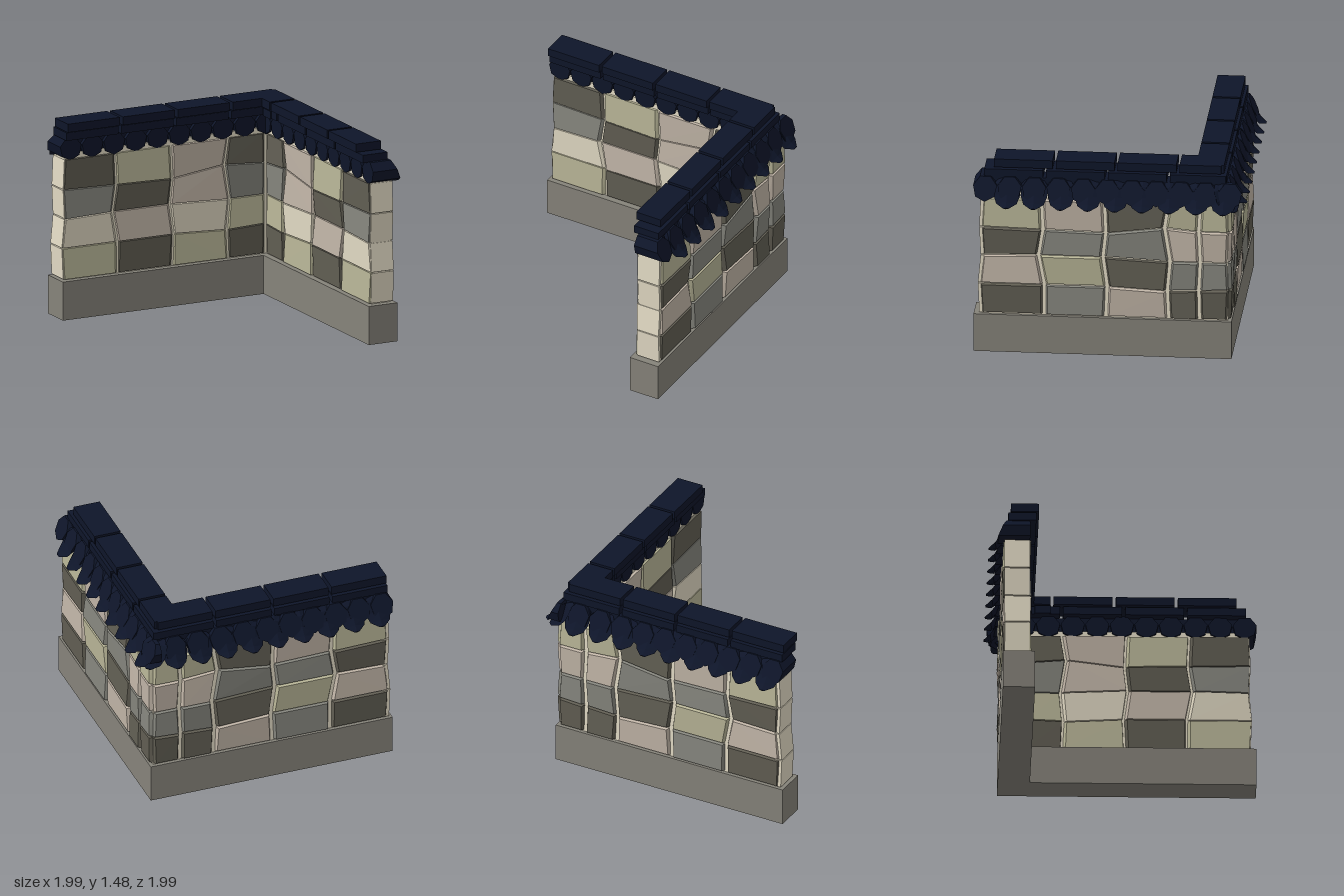
import * as THREE from 'three';
import { ConvexGeometry } from 'three/addons/geometries/ConvexGeometry.js';

const mat = (color, side = THREE.FrontSide) => {
  const m = new THREE.MeshStandardMaterial({ flatShading: true, side });
  m.color.set(color);
  return m;
};
const tileMat = mat(0x0e1529);
const eaveMat = mat(0x0e1529, THREE.DoubleSide);
const baseMat = mat(0x86837a);
const mortarMat = mat(0xe6dec8);
// D dark, G grey, T taupe, O olive, C cream
const stoneMats = {
  D: mat(0x625f54), G: mat(0x86867e), T: mat(0xc2b6a8), O: mat(0xb9b698), C: mat(0xe4dcc6),
};

// Irregular joint lines: positions along the arm and heights, for each of the five course levels
const jointU = [
  [-0.95, -0.48, -0.03, 0.43, 0.655, 0.87],
  [-0.96, -0.48, -0.02, 0.42, 0.65, 0.88],
  [-0.94, -0.52, -0.05, 0.44, 0.66, 0.87],
  [-0.95, -0.49, -0.03, 0.40, 0.65, 0.88],
  [-0.94, -0.50, -0.04, 0.43, 0.66, 0.87],
];
const jointY = [
  [0.295, 0.295, 0.295, 0.295, 0.295, 0.295],
  [0.53, 0.53, 0.53, 0.51, 0.52, 0.53],
  [0.75, 0.76, 0.76, 0.74, 0.74, 0.74],
  [0.97, 0.96, 0.95, 1.0, 0.98, 0.98],
  [1.2, 1.2, 1.2, 1.2, 1.2, 1.2],
];
// Stone colours per course, bottom to top, from free end to corner
const innerColors = ['ODOD', 'CTCO', 'GDTG', 'DOTD'];
const outerColors = ['DGTDD', 'TODGG', 'DGGTT', 'OTDOO'];

function add(parent, name, geometry, material, x = 0, y = 0, z = 0) {
  const mesh = new THREE.Mesh(geometry, material);
  mesh.name = name;
  mesh.position.set(x, y, z);
  parent.add(mesh);
  return mesh;
}

// L-shaped prism following both arms
function corner(start, inner, outer, y0, y1) {
  const pts = [[start, outer], [outer, outer], [outer, start], [inner, start], [inner, inner], [start, inner]];
  const shape = new THREE.Shape(pts.map(p => new THREE.Vector2(...p)));
  return new THREE.ExtrudeGeometry(shape, { depth: y1 - y0, bevelEnabled: false })
    .rotateX(-Math.PI / 2).translate(0, y0, 0);
}

// Seven-sided barrel tile from w0 outward, its outer face raked to the slope of the eave
function barrelGeometry(w0) {
  const g = new THREE.CylinderGeometry(0.089, 0.089, 1, 7).rotateX(Math.PI / 2);
  const p = g.attributes.position;
  for (let i = 0; i < p.count; i++) p.setZ(i, p.getZ(i) < 0 ? w0 : 0.898 - 0.45 * p.getY(i));
  return g;
}

// Drooping eave tile: diamond cross-sections swept along a flared profile (w, y, half width)
function eaveTileGeometry() {
  const rows = [[0.83, 1.34, 0.06], [0.868, 1.305, 0.097], [0.902, 1.23, 0.097], [0.945, 1.18, 0.075], [0.99, 1.16, 0.02]];
  const pos = [], index = [];
  rows.forEach(([w, y, h], i) => {
    const c = i === 4 ? 0.006 : 0.016;
    pos.push(-h, y, w, 0, y + c, w + c / 2, h, y, w, 0, y - c, w - c / 2);
    if (i === 0) return;
    for (let k = 0; k < 4; k++) {
      const a = (i - 1) * 4 + k, b = (i - 1) * 4 + (k + 1) % 4;
      index.push(a, a + 4, b, b, a + 4, b + 4);
    }
  });
  index.push(0, 1, 2, 0, 2, 3, 16, 18, 17, 16, 19, 18);
  const g = new THREE.BufferGeometry();
  g.setAttribute('position', new THREE.Float32BufferAttribute(pos, 3));
  g.setIndex(index);
  g.computeVertexNormals();
  return g;
}

// One arm: u runs from the free end to the corner, w points outward; dir mirrors u
function buildArm(name, dir, o) {
  const arm = new THREE.Group();
  arm.name = name;
  const vec = (u, y, w) => new THREE.Vector3(dir * u, y, w);
  const jointAt = (lv, c) => jointU[lv][c] + (c === 0 ? o.shift / 2 : c < 4 ? o.shift : 0);

  // Tapered facing stones on one side; gaps give the bevel at the start, end, and top and bottom
  const facing = (label, colors, back, front, gaps) => colors.forEach((row, r) => {
    [...row].forEach((key, c) => {
      const pts = [];
      for (const [lv, cc] of [[r, c], [r, c + 1], [r + 1, c + 1], [r + 1, c]]) {
        const u = row.length === 4 && cc === 4 ? 0.70 : jointAt(lv, cc), y = jointY[lv][cc];
        const du = cc === c ? gaps[0] : -gaps[1], sy = lv === r ? 1 : -1;
        const tilt = ((r + c) % 2 ? 1 : -1) * sy * 0.004;
        pts.push(vec(u + du * 0.3, y + sy * 0.002, back), vec(u + du, y + sy * gaps[2], front + tilt));
      }
      add(arm, label, new ConvexGeometry(pts), stoneMats[key]);
    });
  });
  facing('innerStone', innerColors, 0.71, 0.686, [0.004, 0.035, 0.004]);
  facing('outerStone', outerColors, 0.85, 0.888, [0.026, 0.026, 0.011]);

  // Stones closing the free end
  for (let r = 0; r < 4; r++) {
    const y0 = jointY[r][0] + 0.004, y1 = jointY[r + 1][0] - 0.004;
    const pts = [];
    for (const w of [0.696, 0.876]) {
      pts.push(vec(-0.92, y0, w), vec(-0.92, y1, w));
      pts.push(vec(jointAt(r, 0) - 0.004, y0, w), vec(jointAt(r + 1, 0) - 0.004, y1, w));
    }
    add(arm, 'endStone', new ConvexGeometry(pts), stoneMats.C);
  }

  // Barrel tiles lying across the wall, with a short one past the corner
  const barrel = barrelGeometry(0.69), stub = barrelGeometry(0.83);
  for (let i = 0; i < o.barrels; i++) {
    add(arm, 'barrelTile', i < 10 ? barrel : stub, tileMat, dir * (-0.911 + 0.179 * i), 1.277, 0);
  }

  // Eave tiles hanging over the outer side
  const eave = eaveTileGeometry();
  for (let i = 0; i < 9; i++) add(arm, 'eaveTile', eave, eaveMat, dir * (o.eave + 0.198 * i), 0, 0);

  // Two staggered courses of ridge slabs
  const ridge = (label, start, end, w0, w1, y0, y1) => {
    for (let i = 0; i < 4; i++) {
      const a = start + 0.452 * i, b = i === 3 ? end : a + 0.428;
      add(arm, label, new THREE.BoxGeometry(b - a, y1 - y0, w1 - w0), tileMat,
        dir * (a + b) / 2, (y0 + y1) / 2, (w0 + w1) / 2);
    }
  };
  ridge('lowerRidgeSlab', o.lower, 0.845, 0.645, 0.85, 1.352, 1.412);
  ridge('upperRidgeSlab', o.upper, 0.81, 0.625, 0.83, 1.42, 1.483);
  return arm;
}

export function createModel() {
  const model = new THREE.Group();
  model.name = 'cornerWall';

  // Continuous plinth, mortar core and roof core (outward is +x and -z)
  add(model, 'plinth', corner(-0.995, 0.655, 0.89, 0, 0.29), baseMat);
  add(model, 'mortarCore', corner(-0.94, 0.705, 0.862, 0.29, 1.24), mortarMat);
  add(model, 'roofCore', corner(-0.93, 0.72, 0.84, 1.24, 1.352), tileMat);

  const back = buildArm('backArm', -1, { shift: -0.035, barrels: 10, eave: -0.877, lower: -0.97, upper: -0.97 });
  back.rotation.y = Math.PI;
  const side = buildArm('sideArm', 1, { shift: 0, barrels: 11, eave: -0.75, lower: -0.92, upper: -0.85 });
  side.rotation.y = Math.PI / 2;
  model.add(back, side);

  // Diagonal filler slab on the inside of the corner
  const wedge = new THREE.Shape([[0.63, 0.5], [0.8, 0.68], [0.72, 0.62], [0.63, 0.62]].map(p => new THREE.Vector2(...p)));
  add(model, 'cornerSlab', new THREE.ExtrudeGeometry(wedge, { depth: 0.06, bevelEnabled: false })
    .rotateX(-Math.PI / 2), tileMat, 0, 1.352, 0);

  // Small eave tile turned out at the corner
  const tip = add(model, 'cornerEaveTile', eaveTileGeometry().translate(0, 0, -0.85), eaveMat, 0.82, 0, -0.82);
  tip.rotation.y = Math.PI * 0.75;
  return model;
}
